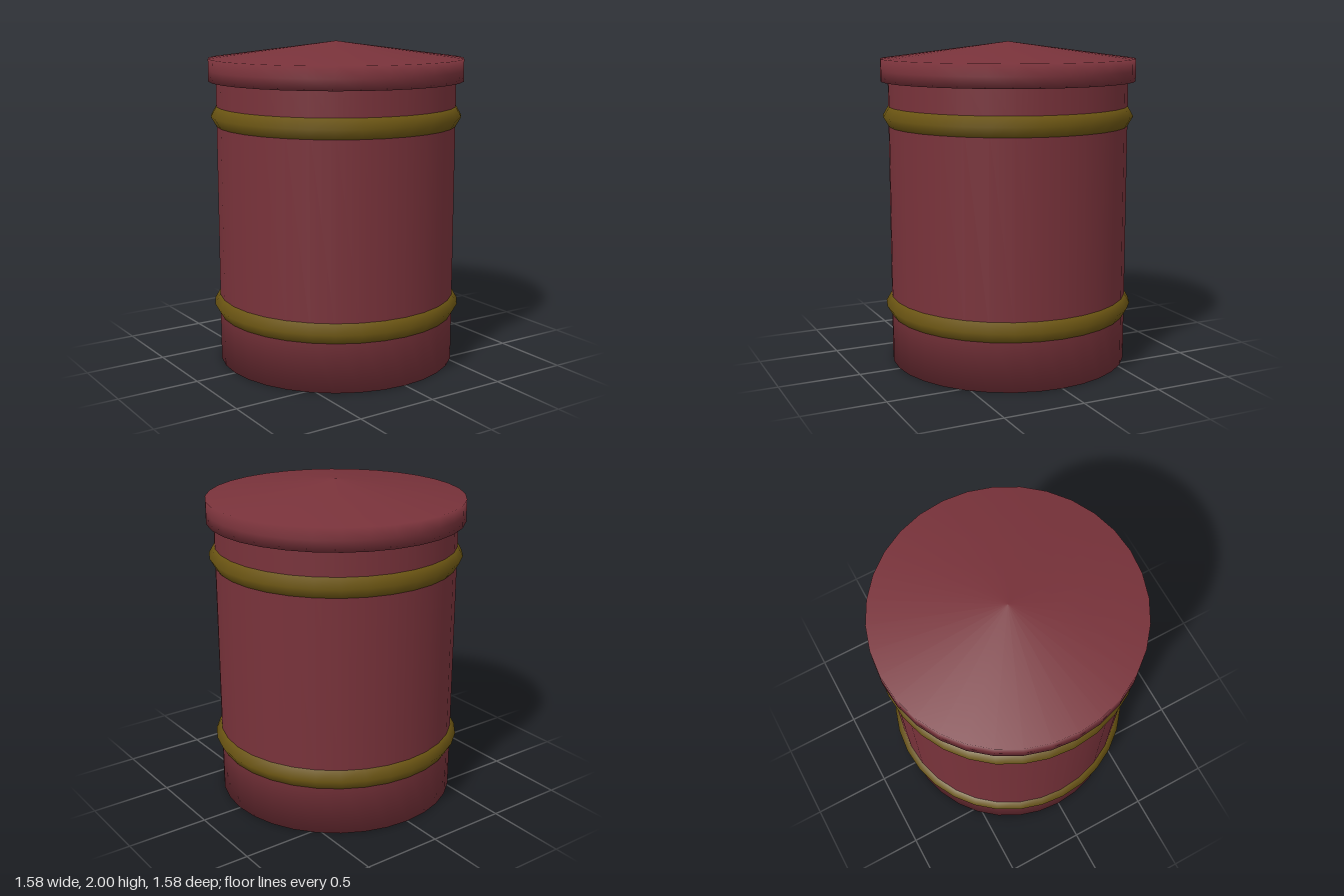
import * as THREE from 'three';

const SIDES = 32;
const red = new THREE.MeshStandardMaterial({ color: 0x78323a });
const brass = new THREE.MeshStandardMaterial({ color: 0x6a5412 });

// Round part from a bottom-to-top profile of [radius, height] points
function turned(name, profile) {
  const points = profile.map(([r, y]) => new THREE.Vector2(r, y));
  const mesh = new THREE.Mesh(new THREE.LatheGeometry(points, SIDES), red);
  mesh.name = name;
  return mesh;
}

// Six-sided hoop wrapped around the body
function hoop(name, y) {
  const geometry = new THREE.TorusGeometry(0.705, 0.073, 6, SIDES);
  geometry.rotateX(Math.PI / 2);
  const mesh = new THREE.Mesh(geometry, brass);
  mesh.name = name;
  mesh.position.y = y;
  return mesh;
}

export function createModel() {
  const model = new THREE.Group();
  model.name = 'canister';

  // Body with a closed base
  model.add(turned('body', [[0, 0], [0.743, 0], [0.743, 0.36], [0.743, 1.55], [0.743, 1.8]]));

  // Overhanging lid with a shallow conical top
  model.add(turned('lid', [[0, 1.76], [0.788, 1.76], [0.788, 1.825], [0.788, 1.897], [0, 2]]));

  // Metal hoops
  model.add(hoop('lowerHoop', 0.362), hoop('upperHoop', 1.547));
  return model;
}
